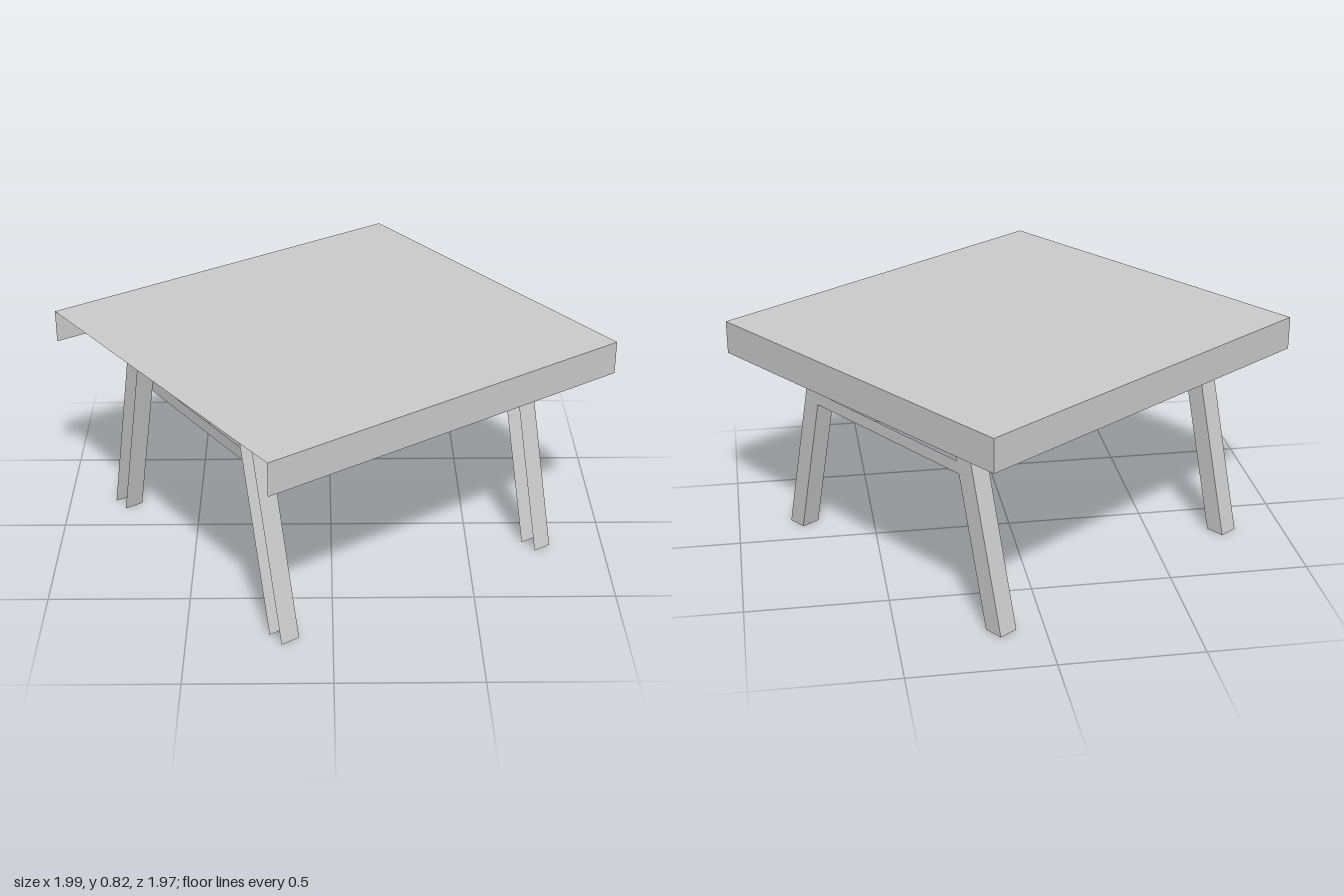
import * as THREE from 'three';

const material = new THREE.MeshStandardMaterial({ color: 0xcccccc, side: THREE.DoubleSide, flatShading: true });

// Folded thin sheet: quads between a lower and an upper polyline of [x, y, z] points
function sheet(name, lower, upper) {
  const pos = [];
  for (let i = 0; i < lower.length - 1; i++) {
    const [a, b, c, d] = [lower[i], lower[i + 1], upper[i + 1], upper[i]];
    pos.push(...a, ...b, ...c, ...a, ...c, ...d);
  }
  const geometry = new THREE.BufferGeometry();
  geometry.setAttribute('position', new THREE.Float32BufferAttribute(pos, 3));
  geometry.computeVertexNormals();
  const mesh = new THREE.Mesh(geometry, material);
  mesh.name = name;
  return mesh;
}

// Three-sided channel outline, open towards -x
const channel = (cx, y, cz, hx, hz) =>
  [[-1, 1], [1, 1], [1, -1], [-1, -1]].map(([sx, sz]) => [cx + sx * hx, y, cz + sz * hz]);

const TOP = 0.82, APRON = 0.70, HALF_X = 0.735, HALF_Z = 0.688;
const LEG_TOP = 0.785, LEG_HALF = 0.036, SPLAY = 0.183;

export function createModel() {
  const table = new THREE.Group();
  table.name = 'table';

  // Top panel with an apron on three sides
  const top = new THREE.Mesh(new THREE.PlaneGeometry(2 * HALF_X, 2 * HALF_Z).rotateX(-Math.PI / 2), material);
  top.name = 'tableTop';
  top.position.y = TOP;
  table.add(top);
  table.add(sheet('apron', channel(0, APRON, 0, HALF_X, HALF_Z), channel(0, TOP, 0, HALF_X, HALF_Z)));

  // Two leg pairs, splayed along z; foot positions are [x, z], back then front
  const pairs = [
    { side: 'right', feet: [[-0.536, -0.585], [-0.557, 0.503]] },
    { side: 'left', feet: [[0.554, -0.531], [0.533, 0.556]] },
  ];
  for (const { side, feet } of pairs) {
    const frame = new THREE.Group();
    frame.name = side + 'LegFrame';
    feet.forEach(([x, z], i) => {
      const topZ = z - Math.sign(z) * SPLAY;
      frame.add(sheet(i ? 'frontLeg' : 'backLeg',
        channel(x, 0, z, LEG_HALF, LEG_HALF), channel(x, LEG_TOP, topZ, LEG_HALF, LEG_HALF)));
    });

    // Stretcher joining the inner edges of the leg faces
    const rail = (y) => [...feet].reverse().map(([x, z]) =>
      [x + LEG_HALF, y, z - Math.sign(z) * (SPLAY * y / LEG_TOP + LEG_HALF)]);
    frame.add(sheet('stretcher', rail(0.538), rail(0.583)));
    table.add(frame);
  }

  // The table stands turned on the floor
  table.rotation.y = THREE.MathUtils.degToRad(35.15);
  const model = new THREE.Group();
  model.name = 'model';
  model.add(table);
  return model;
}
